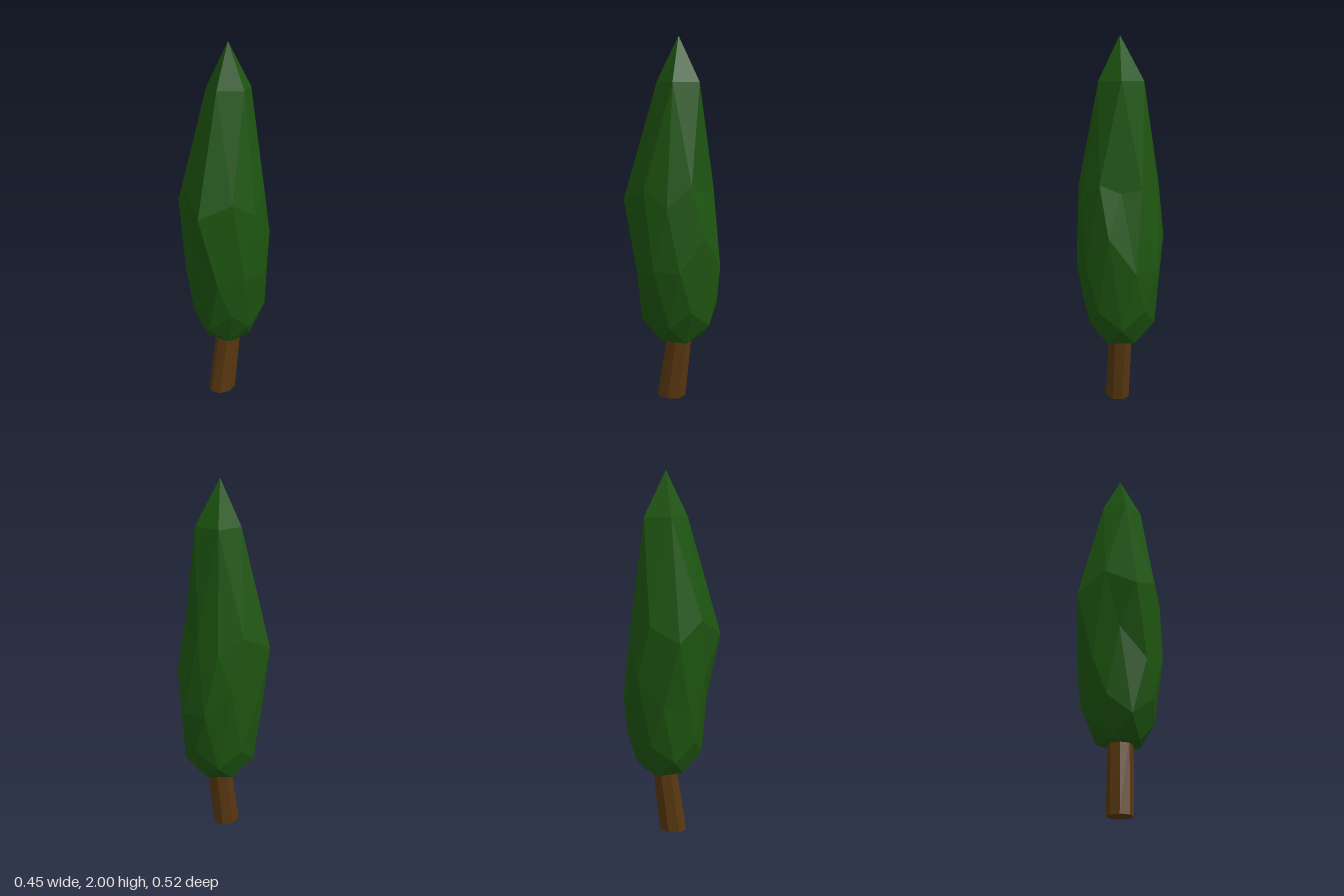
import * as THREE from 'three';

// Cross-section: radii spread evenly around the crown axis, starting at angle "start" (degrees)
function ring(start, radii, heights) {
  return radii.map((r, i) => {
    const a = THREE.MathUtils.degToRad(start + (i * 360) / radii.length);
    return [r * Math.cos(a), heights[i % heights.length], -0.03 + r * Math.sin(a)];
  });
}

// Faceted crown: tip, five, ten, ten, ten, five, base
function crownGeometry() {
  const tip = [0, 2, -0.025];
  const base = [0, 0.36, -0.03];
  const top = ring(0, [0.12, 0.117, 0.117, 0.128, 0.126], [1.77]);
  const upper = ring(0,
    [0.22, 0.233, 0.298, 0.245, 0.28, 0.225, 0.21, 0.184, 0.155, 0.195],
    [1.14, 1.22, 1.15, 1.25, 1.15, 1.23, 1.15, 1.22, 1.2, 1.25]);
  const middle = ring(18,
    [0.237, 0.24, 0.23, 0.235, 0.237, 0.236, 0.236, 0.233, 0.228, 0.23],
    [0.8, 0.76, 0.93, 0.77, 0.79, 0.95, 0.8, 0.79, 0.98, 0.8]);
  const lower = ring(0,
    [0.175, 0.212, 0.205, 0.208, 0.2, 0.21, 0.195, 0.212, 0.2, 0.21],
    [0.47, 0.57]);
  const bottom = ring(36, [0.125, 0.125, 0.125, 0.125, 0.125], [0.365]);

  const points = [];
  const tri = (a, b, c) => points.push(...a, ...c, ...b);
  const at = (loop, i) => loop[(i + loop.length) % loop.length];

  for (let k = 0; k < 5; k++) {
    const j = 2 * k;
    // Tip and shoulder
    tri(tip, at(top, k), at(top, k + 1));
    tri(at(top, k), at(upper, j), at(upper, j + 1));
    tri(at(top, k), at(upper, j + 1), at(top, k + 1));
    tri(at(top, k + 1), at(upper, j + 1), at(upper, j + 2));
    // Underside
    tri(at(lower, j + 1), at(bottom, k), at(lower, j + 2));
    tri(at(lower, j + 2), at(bottom, k), at(bottom, k + 1));
    tri(at(lower, j + 2), at(bottom, k + 1), at(lower, j + 3));
    tri(at(bottom, k), base, at(bottom, k + 1));
  }
  for (let j = 0; j < 10; j++) {
    // Zigzag bands of the body
    tri(at(upper, j), at(middle, j), at(upper, j + 1));
    tri(at(upper, j + 1), at(middle, j), at(middle, j + 1));
    tri(at(middle, j), at(lower, j), at(lower, j + 1));
    tri(at(middle, j), at(lower, j + 1), at(middle, j + 1));
  }

  const geometry = new THREE.BufferGeometry();
  geometry.setAttribute('position', new THREE.Float32BufferAttribute(points, 3));
  geometry.computeVertexNormals();
  return geometry;
}

// Eight-sided trunk leaning backwards, a little thinner in depth towards the top
function trunkGeometry() {
  const height = 0.42;
  const geometry = new THREE.CylinderGeometry(0.068, 0.068, height, 8);
  geometry.translate(0, height / 2, 0);
  const p = geometry.attributes.position;
  for (let i = 0; i < p.count; i++) {
    const y = p.getY(i);
    p.setZ(i, p.getZ(i) * (1.22 - 0.5 * y) + 0.015 - 0.133 * y);
  }
  geometry.computeVertexNormals();
  return geometry;
}

export function createModel() {
  const model = new THREE.Group();
  model.name = 'tree';

  const part = (name, geometry, color) => {
    const material = new THREE.MeshStandardMaterial({ color, flatShading: true });
    const mesh = new THREE.Mesh(geometry, material);
    mesh.name = name;
    model.add(mesh);
  };
  part('crown', crownGeometry(), 0x1d5410);
  part('trunk', trunkGeometry(), 0x573610);
  return model;
}
